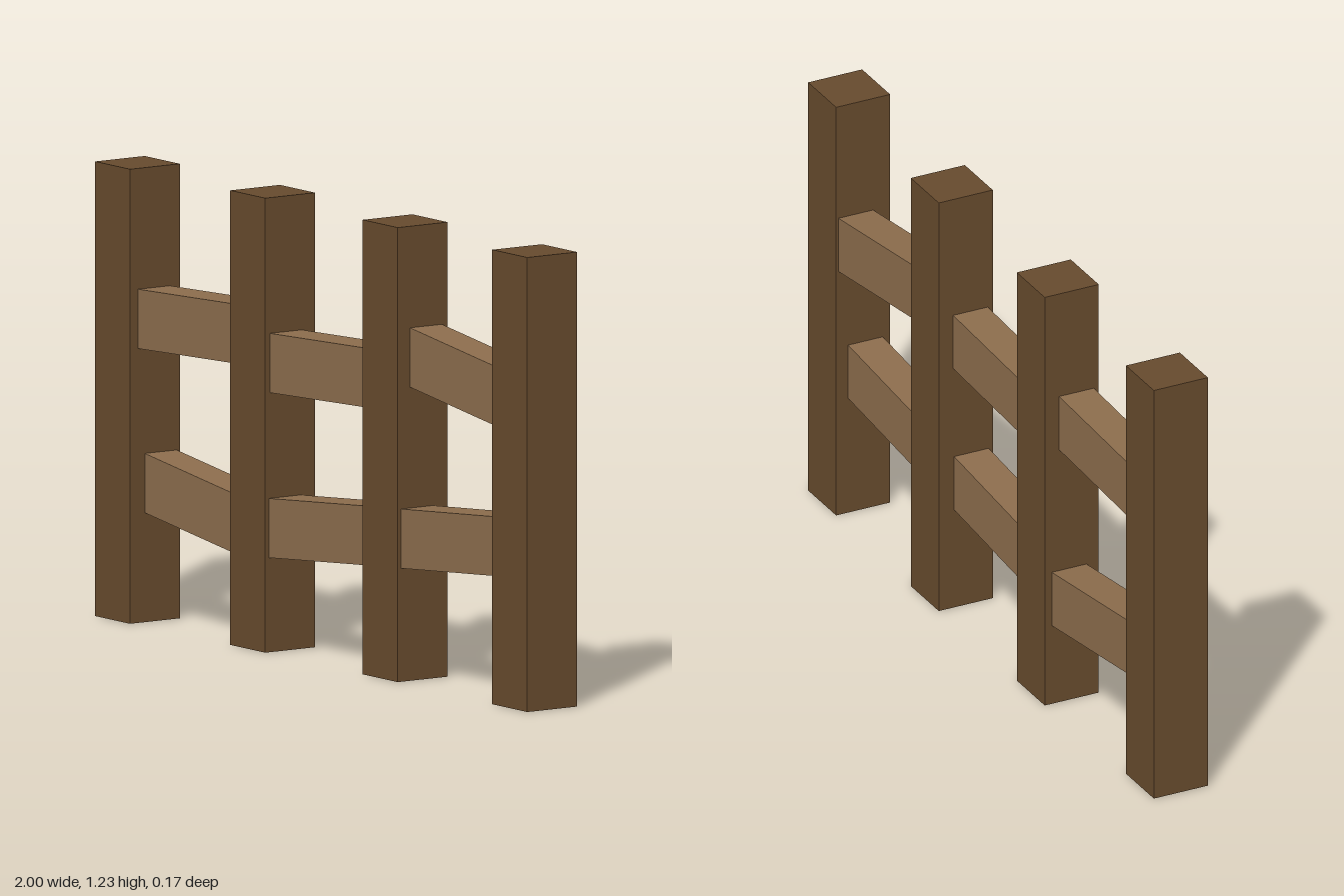
import * as THREE from 'three';

export function createModel() {
  const fence = new THREE.Group();
  fence.name = 'fence';
  const darkWood = new THREE.MeshStandardMaterial({ color: 0x664a2d });
  darkWood.name = 'darkWood';
  const lightWood = new THREE.MeshStandardMaterial({ color: 0x8b6c4c });
  lightWood.name = 'lightWood';

  const postWidth = 0.162;
  const postHeight = 1.226;

  // Upright posts: [x, z], the inner pair set slightly back
  const posts = [[-0.919, 0.005], [-0.309, -0.006], [0.304, -0.006], [0.919, 0.005]];
  const postGeometry = new THREE.BoxGeometry(postWidth, postHeight, postWidth);
  posts.forEach(([x, z], i) => {
    const post = new THREE.Mesh(postGeometry, darkWood);
    post.name = `post${i + 1}`;
    post.position.set(x, postHeight / 2, z);
    fence.add(post);
  });

  // Crooked rails: [bay, name, centre height at left edge, at right edge, z]
  const rails = [
    [0, 'upperRail', 0.82, 0.838, 0.008],
    [0, 'lowerRail', 0.375, 0.315, -0.014],
    [1, 'upperRail', 0.78, 0.798, 0.008],
    [1, 'lowerRail', 0.335, 0.373, 0.011],
    [2, 'upperRail', 0.872, 0.811, -0.017],
    [2, 'lowerRail', 0.386, 0.423, 0.012],
  ];
  for (const [bay, name, y0, y1, z] of rails) {
    const x0 = posts[bay][0];
    const x1 = posts[bay + 1][0];
    const angle = Math.atan2(y1 - y0, x1 - x0 - postWidth);
    // Each rail runs into the posts at both ends
    const rail = new THREE.Mesh(
      new THREE.BoxGeometry((x1 - x0 - 0.04) / Math.cos(angle), 0.16 * Math.cos(angle), 0.104),
      lightWood
    );
    rail.name = `${name}${bay + 1}`;
    rail.position.set((x0 + x1) / 2, (y0 + y1) / 2, z);
    rail.rotation.z = angle;
    fence.add(rail);
  }
  return fence;
}
